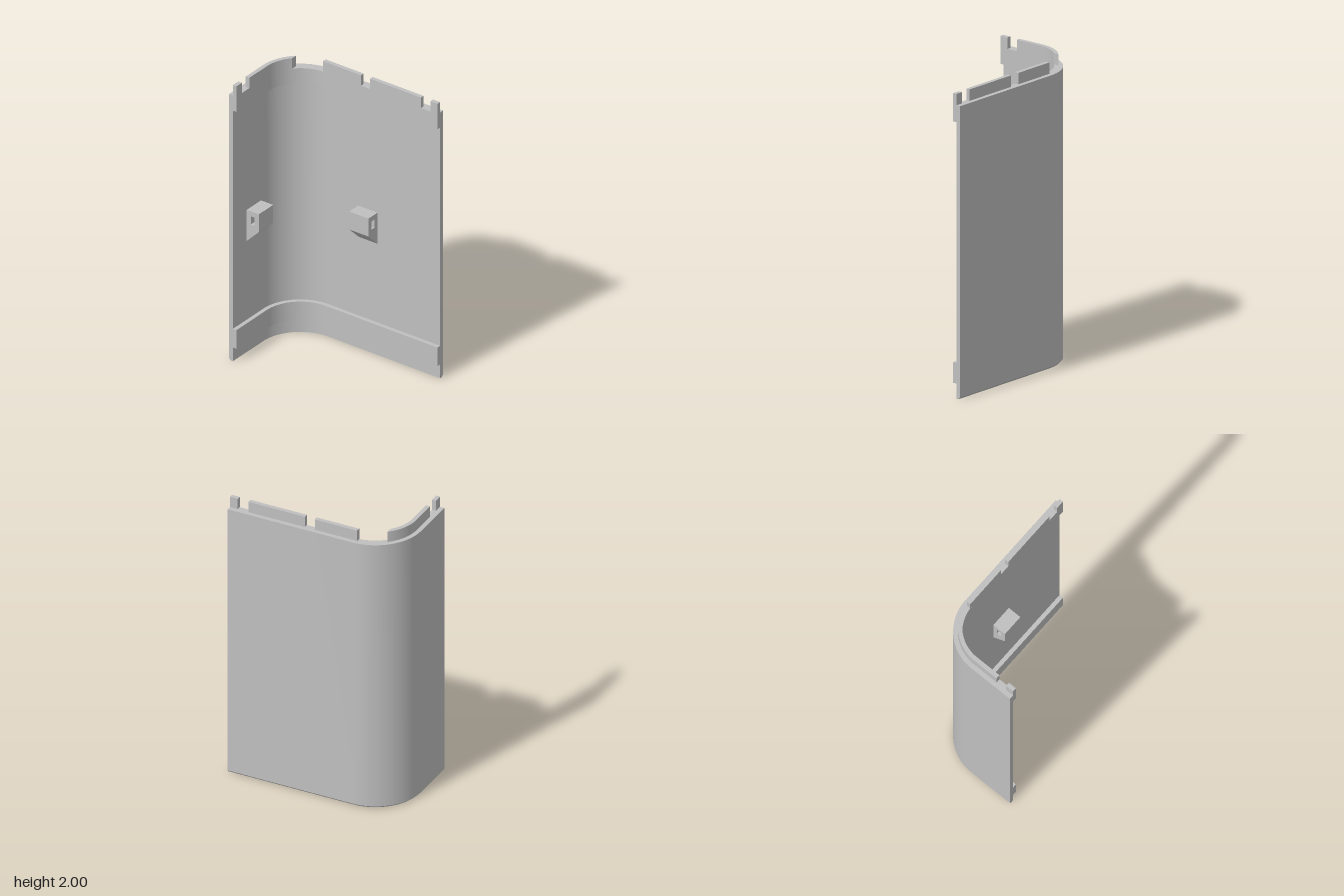
import * as THREE from 'three';
import { toCreasedNormals } from 'three/addons/utils/BufferGeometryUtils.js';

const OUT = 0.32, MID = 0.29, IN = 0.262; // offsets from the corner axis
const CY = 0.28;                          // corner axis sits at x = 0, z = -CY
const TOP = 1.925;

// Plan outline (shape y = -z): back run, rounded corner, then optional side run
function plan(ro, ri, xStart, cutY = null) {
  const aO = cutY === null ? 0 : Math.asin((cutY - CY) / ro);
  const aI = cutY === null ? 0 : Math.asin((cutY - CY) / ri);
  const s = new THREE.Shape();
  s.moveTo(xStart, CY + ro);
  s.lineTo(0, CY + ro);
  s.absarc(0, CY, ro, Math.PI / 2, aO, true);
  if (cutY === null) {
    s.lineTo(ro, -0.6);
    s.lineTo(ri, -0.6);
  }
  s.lineTo(ri * Math.cos(aI), CY + ri * Math.sin(aI));
  s.absarc(0, CY, ri, aI, Math.PI / 2, false);
  s.lineTo(xStart, CY + ri);
  s.closePath();
  return s;
}

function raise(shape, y0, y1) {
  const g = new THREE.ExtrudeGeometry(shape, { depth: y1 - y0, bevelEnabled: false, curveSegments: 32 });
  g.rotateX(-Math.PI / 2);
  g.translate(0, y0, 0);
  return g;
}

export function createModel() {
  const group = new THREE.Group();
  const grey = new THREE.MeshStandardMaterial({ color: 0xc0c0c0 });
  grey.name = 'light grey';

  const add = (name, geometry) => {
    const mesh = new THREE.Mesh(toCreasedNormals(geometry, 0.5), grey);
    mesh.name = name;
    group.add(mesh);
    return mesh;
  };
  const addBox = (name, x0, x1, y0, y1, z0, z1) => {
    const g = new THREE.BoxGeometry(x1 - x0, y1 - y0, z1 - z0);
    g.translate((x0 + x1) / 2, (y0 + y1) / 2, (z0 + z1) / 2);
    return add(name, g);
  };

  // Main curved wall
  const edge = 0.013;
  add('wall', raise(plan(OUT, MID, -0.32), edge, TOP));

  // Chamfered bottom edge: pull the lower outer corners inward
  const foot = raise(plan(OUT, MID, -0.32), 0, edge);
  const p = foot.attributes.position;
  for (let i = 0; i < p.count; i++) {
    if (p.getY(i) > 0.001) continue;
    const x = p.getX(i), z = p.getZ(i);
    const dx = Math.max(x, 0), dz = Math.min(z + CY, 0);
    const r = Math.hypot(dx, dz);
    if (r < (OUT + MID) / 2) continue;
    p.setX(i, x - (dx / r) * edge);
    p.setZ(i, z - (dz / r) * edge);
  }
  add('bottomChamfer', foot);

  // Inner reinforcing ribs
  add('lowerRib', raise(plan(MID, IN, -0.32), 0.1, 0.235));
  add('upperRib', raise(plan(MID, IN, -0.32), 1.815, TOP));

  // Locating tabs along the top
  add('cornerTab', raise(plan(MID, IN, -0.185, 0.475), TOP, 2));
  addBox('backTab', -0.32, -0.262, TOP, 2, -CY - MID, -CY - IN);
  for (const [z0, z1] of [[-0.3, 0], [0.07, 0.47], [0.545, 0.6]]) {
    addBox('sideTab', IN, MID, TOP, 2, z0, z1);
  }

  // Wedge-bottomed hook with a through slot, drawn with the wall at local x = 0
  const profile = new THREE.Shape([
    [0, 0.805], [0, 1.03], [-0.095, 1.03], [-0.095, 0.9],
  ].map(([x, y]) => new THREE.Vector2(x, y)));
  profile.holes.push(new THREE.Path([
    [-0.062, 0.935], [-0.062, 0.995], [-0.032, 0.995], [-0.032, 0.935],
  ].map(([x, y]) => new THREE.Vector2(x, y))));
  const hook = new THREE.ExtrudeGeometry(profile, { depth: 0.15, bevelEnabled: false });
  hook.translate(0, 0, -0.075);

  add('sideHook', hook).position.set(MID, 0, 0.033);
  const backHook = add('backHook', hook);
  backHook.rotation.y = Math.PI / 2;
  backHook.position.set(-0.1, 0, -CY - MID);

  return group;
}
